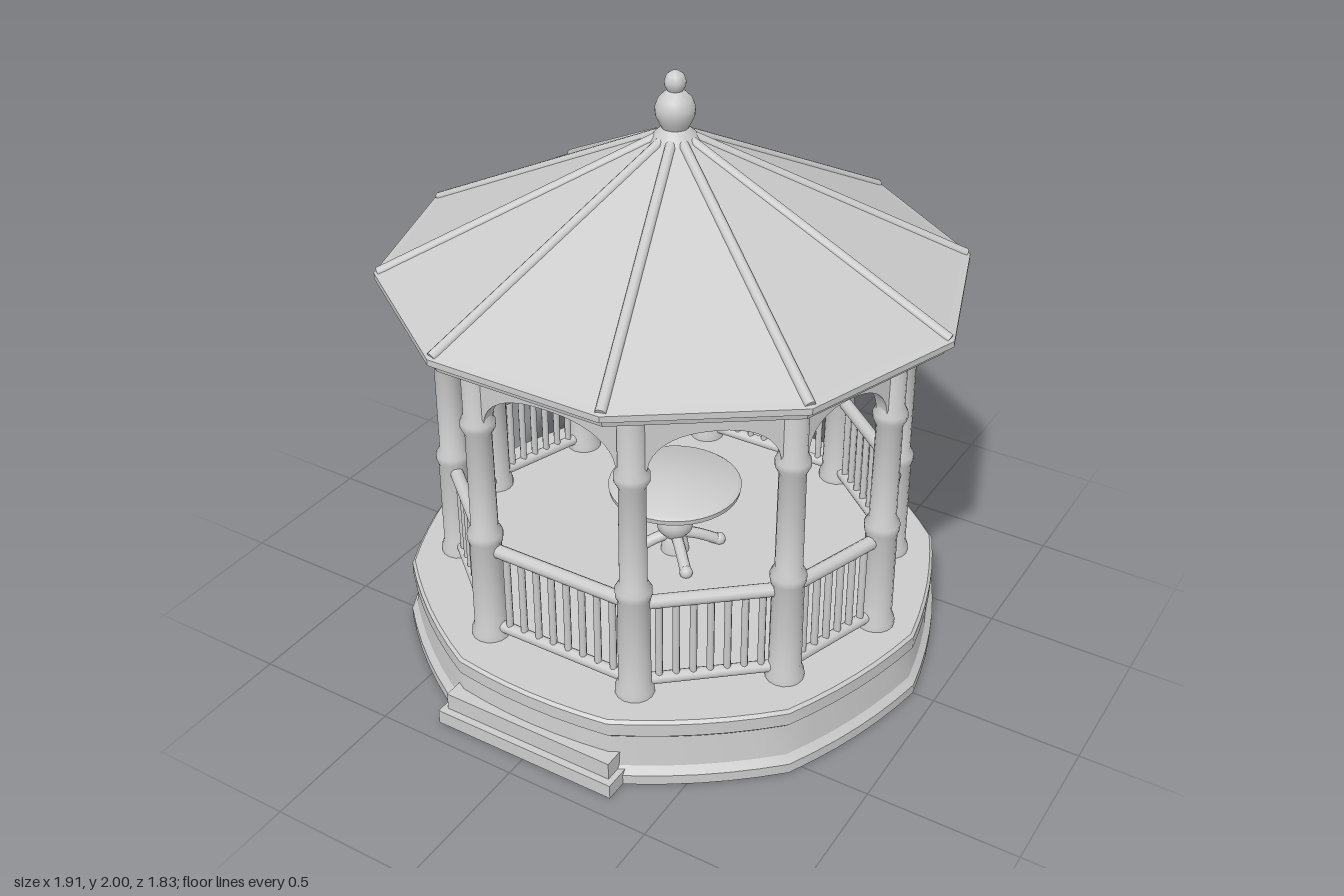
import * as THREE from 'three';
import { toCreasedNormals } from 'three/addons/utils/BufferGeometryUtils.js';

const V2 = (p) => p.map(([x, y]) => new THREE.Vector2(x, y));
const V3 = (x, y, z) => new THREE.Vector3(x, y, z);
const mat = new THREE.MeshStandardMaterial({ color: 0xcccccc, roughness: 0.8 });
const flatMat = new THREE.MeshStandardMaterial({ color: 0xcccccc, roughness: 0.8, flatShading: true });

function add(parent, name, geometry, material = mat) {
  const mesh = new THREE.Mesh(geometry, material);
  mesh.name = name;
  parent.add(mesh);
  return mesh;
}

function lathe(points, segments = 24, start = 0) {
  return toCreasedNormals(new THREE.LatheGeometry(V2(points), segments, start), 0.7);
}

// straight round bar between two points
function bar(parent, name, a, b, radius, sides = 10) {
  const mesh = add(parent, name, new THREE.CylinderGeometry(radius, radius, a.distanceTo(b), sides));
  mesh.position.copy(a).lerp(b, 0.5);
  mesh.quaternion.setFromUnitVectors(V3(0, 1, 0), b.clone().sub(a).normalize());
  return mesh;
}

// hollow plinth whose outline lies between a circle and a decagon
function buildBase(root) {
  const g = new THREE.LatheGeometry(V2([
    [0, 0.2], [0.86, 0.2], [0.885, 0], [0.925, 0], [0.925, 0.035], [0.905, 0.06],
    [0.895, 0.17], [0.91, 0.185], [0.91, 0.23], [0.9, 0.24], [0, 0.24],
  ]), 60, Math.PI / 10);
  const p = g.attributes.position;
  const sector = Math.PI / 5;
  for (let i = 0; i < p.count; i++) {
    const a = Math.atan2(p.getZ(i), p.getX(i)) + 2 * Math.PI;
    const local = (a % sector) - sector / 2;
    const k = 0.5 + 0.5 * Math.cos(sector / 2) / Math.cos(local);
    p.setX(i, p.getX(i) * k);
    p.setZ(i, p.getZ(i) * k);
  }
  add(root, 'base', toCreasedNormals(g, 0.5));

  // two shallow front steps
  const steps = new THREE.Group();
  steps.name = 'steps';
  [[0.66, 0, 0.05, 0.93], [0.62, 0.05, 0.11, 0.905]].forEach(([w, y0, y1, z]) => {
    const step = add(steps, 'step', new THREE.BoxGeometry(w, y1 - y0, 0.09));
    step.position.set(0, (y0 + y1) / 2, z - 0.045);
  });
  root.add(steps);
}

// ten-sided roof with a flat ceiling, hip ribs and finial
function buildRoof(root) {
  const roof = new THREE.Group();
  roof.name = 'roof';
  roof.scale.z = 0.975;
  const shell = new THREE.LatheGeometry(V2([
    [0, 1.29], [0.89, 1.29], [0.925, 1.305], [0.93, 1.325], [0.955, 1.335],
    [0.955, 1.355], [0.93, 1.365], [0.07, 1.785], [0, 1.8],
  ]), 10, Math.PI / 10);
  add(roof, 'roofShell', shell, flatMat);
  for (let i = 0; i < 10; i++) {
    const a = i * Math.PI / 5, c = Math.cos(a), s = Math.sin(a);
    bar(roof, 'hipRib', V3(0.94 * c, 1.357, 0.94 * s), V3(0.06 * c, 1.785, 0.06 * s), 0.017);
  }
  root.add(roof);

  add(root, 'finial', lathe([
    [0.085, 1.765], [0.065, 1.8], [0.042, 1.82], [0.05, 1.835], [0.061, 1.86], [0.063, 1.885],
    [0.053, 1.912], [0.035, 1.93], [0.024, 1.938], [0.032, 1.952], [0.034, 1.967],
    [0.027, 1.987], [0.012, 1.998], [0, 2],
  ]));
}

// post positions, mirrored round the deck
function postPoints() {
  const q = [[0.77, 0], [0.64, 0.388], [0.277, 0.697]];
  const flip = ([x, z], sx, sz) => [x * sx, z * sz];
  return [
    q[0], q[1], q[2], flip(q[2], -1, 1), flip(q[1], -1, 1),
    flip(q[0], -1, 1), flip(q[1], -1, -1), flip(q[2], -1, -1), flip(q[2], 1, -1), flip(q[1], 1, -1),
  ];
}

const postGeometry = lathe([
  [0, 0.23], [0.063, 0.23], [0.063, 0.26], [0.053, 0.285], [0.051, 0.6], [0.057, 0.615],
  [0.058, 0.64], [0.044, 0.665], [0.042, 1.01], [0.055, 1.035], [0.055, 1.055],
  [0.043, 1.08], [0.043, 1.3], [0, 1.3],
], 16);

// frieze panel with an arched lower edge
function archGeometry(length) {
  const h = length / 2, r = h - 0.04;
  const s = new THREE.Shape();
  s.moveTo(-h, 1.3);
  s.lineTo(-h, 1.05);
  s.lineTo(-r, 1.05);
  for (let i = 1; i <= 20; i++) {
    const a = Math.PI * (1 - i / 20);
    const c = Math.cos(a);
    s.lineTo(r * Math.sign(c) * Math.abs(c) ** 0.85, 1.05 + 0.14 * Math.sin(a) ** 0.85);
  }
  s.lineTo(h, 1.05);
  s.lineTo(h, 1.3);
  const g = new THREE.ExtrudeGeometry(s, { depth: 0.045, bevelEnabled: false });
  return toCreasedNormals(g.translate(0, 0, -0.0225), 0.6);
}

// one bay: arch, rails and balusters between two neighbouring posts
function buildBay(root, [x0, z0], [x1, z1]) {
  const bay = new THREE.Group();
  bay.name = 'bay';
  const length = Math.hypot(x1 - x0, z1 - z0);
  bay.position.set((x0 + x1) / 2, 0, (z0 + z1) / 2);
  bay.rotation.y = Math.atan2(-(z1 - z0), x1 - x0);
  add(bay, 'arch', archGeometry(length));
  const h = length / 2;
  bar(bay, 'topRail', V3(-h, 0.58, 0), V3(h, 0.58, 0), 0.023);
  bar(bay, 'bottomRail', V3(-h, 0.28, 0), V3(h, 0.28, 0), 0.02);
  const count = Math.round((length - 0.1) / 0.056);
  for (let i = 0; i < count; i++) {
    const x = ((i + 0.5) / count - 0.5) * (length - 0.1);
    bar(bay, 'baluster', V3(x, 0.28, 0), V3(x, 0.57, 0), 0.012, 8);
  }
  root.add(bay);
}

// round pedestal table with splayed feet
function buildTable(root) {
  const table = new THREE.Group();
  table.name = 'table';
  add(table, 'tableTop', lathe([
    [0, 0.485], [0.2, 0.485], [0.225, 0.497], [0.228, 0.515], [0.215, 0.525], [0, 0.525],
  ], 40));
  add(table, 'pedestal', lathe([
    [0.05, 0.235], [0.045, 0.28], [0.035, 0.3], [0.06, 0.33], [0.066, 0.36],
    [0.055, 0.395], [0.035, 0.415], [0.04, 0.45], [0.08, 0.49],
  ]));
  for (let i = 0; i < 4; i++) {
    const a = Math.PI / 4 + i * Math.PI / 2, c = Math.cos(a), s = Math.sin(a);
    const path = new THREE.CatmullRomCurve3([
      V3(0.02 * c, 0.31, 0.02 * s), V3(0.08 * c, 0.29, 0.08 * s), V3(0.16 * c, 0.25, 0.16 * s),
    ]);
    add(table, 'tableFoot', new THREE.TubeGeometry(path, 8, 0.02, 8));
    add(table, 'footPad', new THREE.SphereGeometry(0.023, 12, 8)).position.set(0.16 * c, 0.252, 0.16 * s);
  }
  root.add(table);
}

export function createModel() {
  const root = new THREE.Group();
  root.name = 'gazebo';
  buildBase(root);
  buildRoof(root);
  const posts = postPoints();
  posts.forEach((p, i) => {
    add(root, 'post', postGeometry).position.set(p[0], 0, p[1]);
    buildBay(root, p, posts[(i + 1) % posts.length]);
  });
  buildTable(root);
  return root;
}
